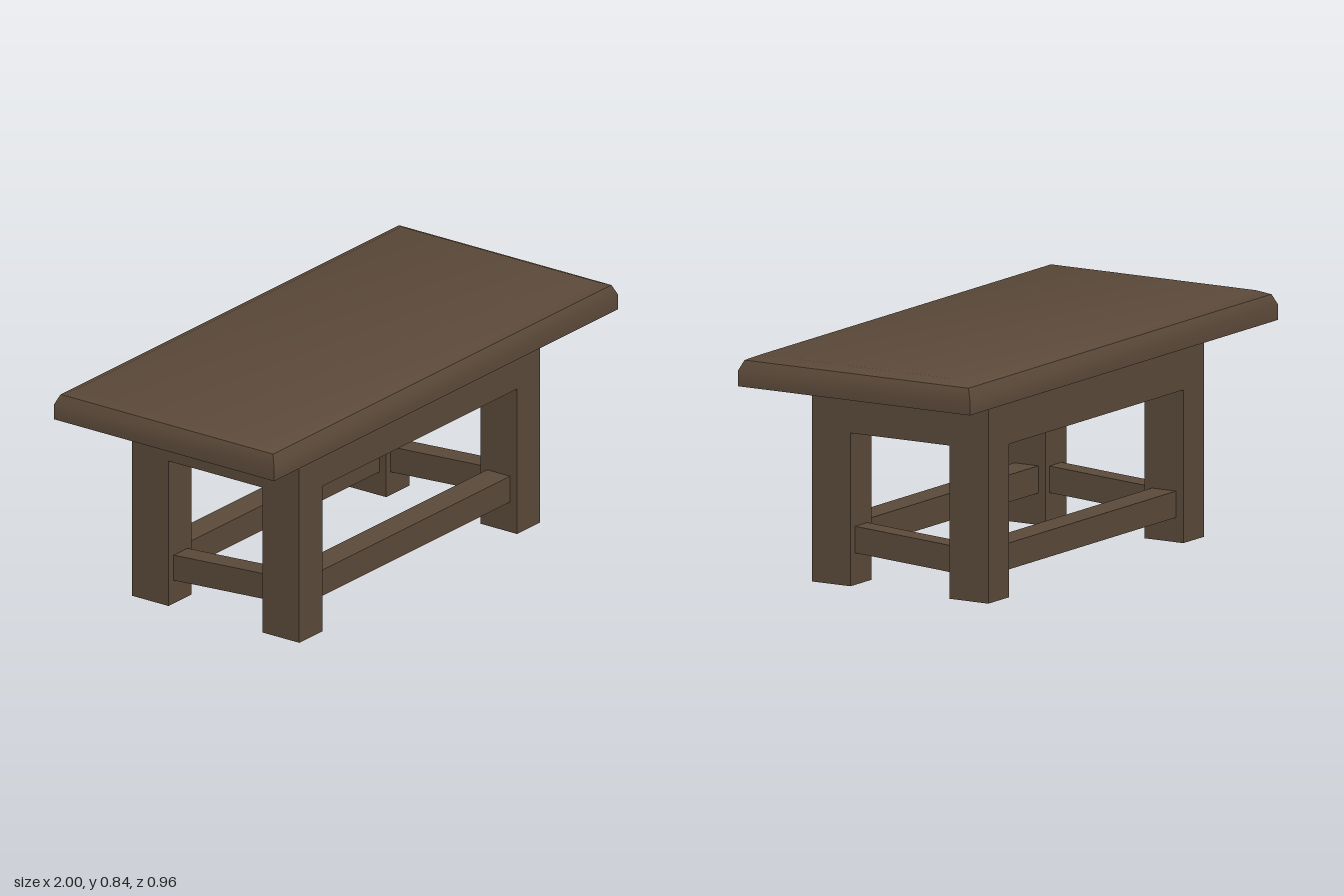
import * as THREE from 'three';
import { toCreasedNormals } from 'three/addons/utils/BufferGeometryUtils.js';

const wood = new THREE.MeshStandardMaterial({ color: 0x5c4a3a, side: THREE.DoubleSide });

// Outer and inner faces of the legs, and the main heights
const XO = 0.7, XI = 0.565, ZO = 0.365, ZI = 0.205;
const APRON_Y = 0.545, TOP_Y = 0.735;

function add(group, name, geometry) {
  const mesh = new THREE.Mesh(geometry, wood);
  mesh.name = name;
  group.add(mesh);
  return mesh;
}

function block(x0, x1, y0, y1, z0, z1) {
  return new THREE.BoxGeometry(x1 - x0, y1 - y0, z1 - z0)
    .translate((x0 + x1) / 2, (y0 + y1) / 2, (z0 + z1) / 2);
}

// Slab lofted through rectangular sections: [half width, height, half depth]
function slabGeometry() {
  const sections = [
    [1, 0.733, 0.48], [1, 0.787, 0.48], [0.983, 0.825, 0.463], [0.943, 0.842, 0.423],
  ];
  const corners = [[1, 1], [1, -1], [-1, -1], [-1, 1]];
  const positions = [], index = [];
  for (const [w, y, d] of sections)
    for (const [sx, sz] of corners) positions.push(sx * w, y, sz * d);
  for (let s = 0; s < sections.length - 1; s++)
    for (let i = 0; i < 4; i++) {
      const a = s * 4 + i, b = s * 4 + (i + 1) % 4;
      index.push(a, b, b + 4, a, b + 4, a + 4);
    }
  const t = (sections.length - 1) * 4;
  index.push(t, t + 1, t + 2, t, t + 2, t + 3); // top face
  index.push(0, 2, 1, 0, 3, 2);                 // underside
  const g = new THREE.BufferGeometry();
  g.setAttribute('position', new THREE.Float32BufferAttribute(positions, 3));
  g.setIndex(index);
  return toCreasedNormals(g, 0.6);
}

// Square leg, hollow at the foot
function legGeometry(sx, sz) {
  const g = block(XI, XO, 0, TOP_Y, ZI, ZO);
  g.translate(sx < 0 ? -XI - XO : 0, 0, sz < 0 ? -ZI - ZO : 0);
  const faces = Array.from(g.index.array);
  faces.splice(18, 6); // the bottom face
  g.setIndex(faces);
  g.clearGroups();
  return g;
}

// Side rail sloping down towards the back
function sideRailGeometry(x0, x1) {
  const g = block(x0, x1, 0.1, 0.195, -ZI, ZI);
  const p = g.attributes.position;
  for (let i = 0; i < p.count; i++) p.setY(i, p.getY(i) + 0.065 * p.getZ(i));
  g.computeVertexNormals();
  return g;
}

export function createModel() {
  const table = new THREE.Group();
  table.name = 'table';

  add(table, 'tableTop', slabGeometry());

  // Four legs
  for (const sx of [1, -1])
    for (const sz of [1, -1])
      add(table, `${sz > 0 ? 'front' : 'back'}${sx > 0 ? 'Left' : 'Right'}Leg`, legGeometry(sx, sz));

  // Aprons flush with the legs
  add(table, 'frontApron', block(-XI, XI, APRON_Y, TOP_Y, ZI, ZO));
  add(table, 'backApron', block(-XI, XI, APRON_Y, TOP_Y, -ZO, -ZI));
  add(table, 'leftApron', block(XI, XO, APRON_Y, TOP_Y, -ZI, ZI));
  add(table, 'rightApron', block(-XO, -XI, APRON_Y, TOP_Y, -ZI, ZI));

  // Stretchers, set in slightly from the leg faces
  add(table, 'frontStretcher', block(-XI, XI, 0.113, 0.21, 0.235, 0.335));
  add(table, 'backStretcher', block(-XI, XI, 0.088, 0.182, -0.335, -0.235));
  add(table, 'leftStretcher', sideRailGeometry(0.59, 0.67));
  add(table, 'rightStretcher', sideRailGeometry(-0.67, -0.59));

  return table;
}
